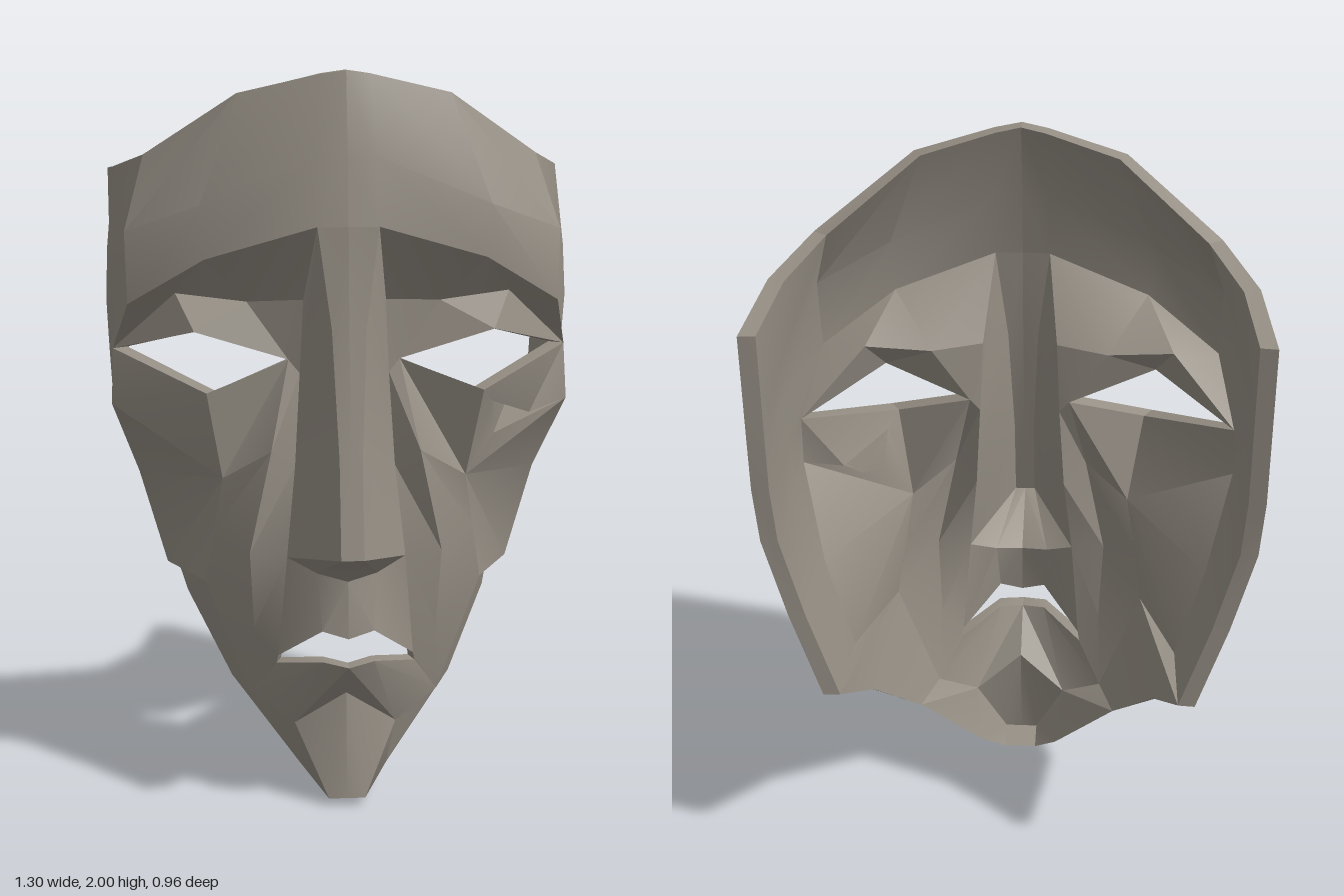
import * as THREE from 'three';
import { toCreasedNormals } from 'three/addons/utils/BufferGeometryUtils.js';

const stone = new THREE.MeshStandardMaterial({ color: 0x958e84 });
stone.name = 'warm grey';
const THICK = 0.045;

// Inner skin: move a point horizontally towards the wearer's head axis.
function inward([x, y, z]) {
  const dx = -x, dz = -0.4 - z, l = Math.hypot(dx, dz) || 1;
  return [x + (dx / l) * THICK, y, z + (dz / l) * THICK];
}

// Solid shell through rows of points (top to bottom, centre line outwards).
function shell(name, rows, side, closed = false) {
  const pos = [];
  const same = (a, b) => a.every((v, i) => Math.abs(v - b[i]) < 1e-6);
  const tri = (a, b, c) => {
    if (same(a, b) || same(b, c) || same(a, c)) return;
    for (const p of side > 0 ? [a, b, c] : [a, c, b]) pos.push(p[0] * side, p[1], p[2]);
  };
  const both = (a, b, c) => {
    tri(a, b, c);
    tri(inward(a), inward(c), inward(b));
  };
  const m = rows.length - 1, n = rows[0].length - 1;
  for (let i = 0; i < m; i++) for (let j = 0; j < n; j++) {
    const a = rows[i][j], b = rows[i][j + 1], c = rows[i + 1][j + 1], d = rows[i + 1][j];
    both(a, d, c);
    both(a, c, b);
  }
  // Rim walls around the patch
  const wall = (p, q) => {
    tri(q, p, inward(p));
    tri(q, inward(p), inward(q));
  };
  if (!closed) for (let i = 0; i < m; i++) {
    wall(rows[i][0], rows[i + 1][0]);
    wall(rows[i + 1][n], rows[i][n]);
  }
  for (let j = 0; j < n; j++) {
    wall(rows[m][j], rows[m][j + 1]);
    wall(rows[0][j + 1], rows[0][j]);
  }
  const g = new THREE.BufferGeometry();
  g.setAttribute('position', new THREE.Float32BufferAttribute(pos, 3));
  const mesh = new THREE.Mesh(toCreasedNormals(g, 0.5), stone);
  mesh.name = name;
  return mesh;
}

export function createModel() {
  const mask = new THREE.Group();
  mask.name = 'mask';

  // Shared landmarks of the left half
  const crownEnd = [0.53, 1.77, 0], temple = [0.58, 1.58, 0.13];
  const browIn = [0.08, 1.61, 0.31], browMid = [0.37, 1.52, 0.245], browOut = [0.575, 1.39, 0.15];
  const eyeIn = [0.15, 1.235, 0.15], eyeOut = [0.625, 1.24, -0.02];
  const lidTop = [0.4, 1.32, 0.19], lidLow = [0.37, 1.16, 0.22];
  const noseRoot = [0.11, 1.4, 0.17], noseSide = [0.12, 1.2, 0.16], noseLow = [0.135, 0.95, 0.19];
  const wing = [0.16, 0.71, 0.24], tip = [0.03, 0.77, 0.48];
  const cheek = [0.33, 0.915, 0.17], cheekOut = [0.63, 1.09, 0.01], jowl = [0.38, 0.61, 0.12];
  const jawSide = [0.49, 0.59, -0.14], jawBack = [0.5, 0.61, -0.44];
  const mouthEnd = [0.19, 0.4, 0.21], chinOut = [0.26, 0.29, 0.14], chinMid = [0.14, 0.22, 0.2];
  const chinTip = [0.05, 0.025, 0.28], chinBase = [0.05, 0.005, 0.2];

  const parts = {
    forehead: [
      [[0, 2, 0.22], [0.07, 1.99, 0.205], [0.28, 1.94, 0.155], crownEnd],
      [[0, 1.79, 0.28], [0.08, 1.785, 0.28], [0.38, 1.66, 0.245], temple],
      [[0, 1.61, 0.315], browIn, browMid, browOut],
    ],
    sideWall: [
      [crownEnd, [0.62, 1.72, -0.2], [0.65, 1.69, -0.48]],
      [temple, [0.64, 1.5, -0.15], [0.65, 1.5, -0.47]],
      [browOut, [0.645, 1.36, -0.13], [0.65, 1.4, -0.465]],
      [eyeOut, [0.642, 1.24, -0.15], [0.65, 1.25, -0.455]],
      [cheekOut, [0.635, 1.09, -0.15], [0.64, 1.09, -0.44]],
      [cheek, [0.565, 0.86, -0.14], [0.58, 0.86, -0.44]],
      [jowl, jawSide, jawBack],
    ],
    eyeSocket: [
      [browIn, browMid, browOut, eyeOut],
      [noseRoot, [0.26, 1.39, 0.13], [0.45, 1.41, 0.1], eyeOut],
    ],
    upperEyelid: [
      [noseRoot, [0.26, 1.39, 0.13], [0.45, 1.41, 0.1], eyeOut],
      [noseSide, eyeIn, lidTop, eyeOut],
    ],
    noseBridge: [
      [[0, 1.61, 0.315], browIn],
      [[0, 1.35, 0.345], [0.045, 1.35, 0.34]],
      [[0, 1.02, 0.415], [0.03, 1.02, 0.415]],
      [[0, 0.77, 0.48], tip],
    ],
    noseFlank: [
      [browIn, noseRoot],
      [[0.045, 1.35, 0.34], noseSide],
      [[0.03, 1.02, 0.415], noseLow],
      [tip, wing],
    ],
    noseUnderside: [
      [[0, 0.77, 0.48], tip, wing],
      [[0, 0.66, 0.31], [0.08, 0.675, 0.28], wing],
    ],
    upperLip: [
      [[0, 0.66, 0.31], [0.08, 0.675, 0.28], wing],
      [[0, 0.505, 0.33], [0.07, 0.525, 0.32], [0.185, 0.425, 0.22]],
    ],
    cheekFold: [
      [noseSide, eyeIn, lidLow],
      [noseLow, [0.2, 1, 0.23], cheek],
      [wing, [0.26, 0.72, 0.23], [0.355, 0.7625, 0.145]],
      [[0.185, 0.425, 0.22], [0.25, 0.5, 0.2], jowl],
      [mouthEnd, chinOut, jowl],
    ],
    lowerLip: [
      [[0, 0.43, 0.35], [0.07, 0.44, 0.325], mouthEnd],
      [[0, 0.32, 0.24], chinMid, chinOut],
    ],
    chin: [
      [[0, 0.32, 0.24], chinMid],
      [[0, 0.025, 0.28], chinTip],
      [[0, 0.005, 0.2], chinBase],
    ],
    jaw: [
      [chinTip, chinMid, chinOut, jowl, jawSide],
      [chinBase, [0.12, 0.07, 0.14], [0.31, 0.29, 0], [0.435, 0.48, -0.21], jawBack],
    ],
  };
  for (const side of [1, -1]) {
    const half = new THREE.Group();
    half.name = side > 0 ? 'leftHalf' : 'rightHalf';
    for (const [name, rows] of Object.entries(parts)) half.add(shell(name, rows, side));
    mask.add(half);
  }

  // Cheekbone panels: plain on the right, with a three-sided notch on the left
  mask.add(shell('rightCheekbone', [[lidLow, eyeOut], [cheek, cheekOut]], -1));
  const h1 = [0.4, 1.12, 0.175], h2 = [0.52, 1.06, 0.055], h3 = [0.41, 1.02, 0.13], pit = [0.46, 1.07, 0];
  mask.add(shell('leftCheekboneNotch', [
    [lidLow, eyeOut, cheekOut, cheek, lidLow],
    [h1, h2, h2, h3, h1],
    [pit, pit, pit, pit, pit],
  ], 1, true));
  return mask;
}
